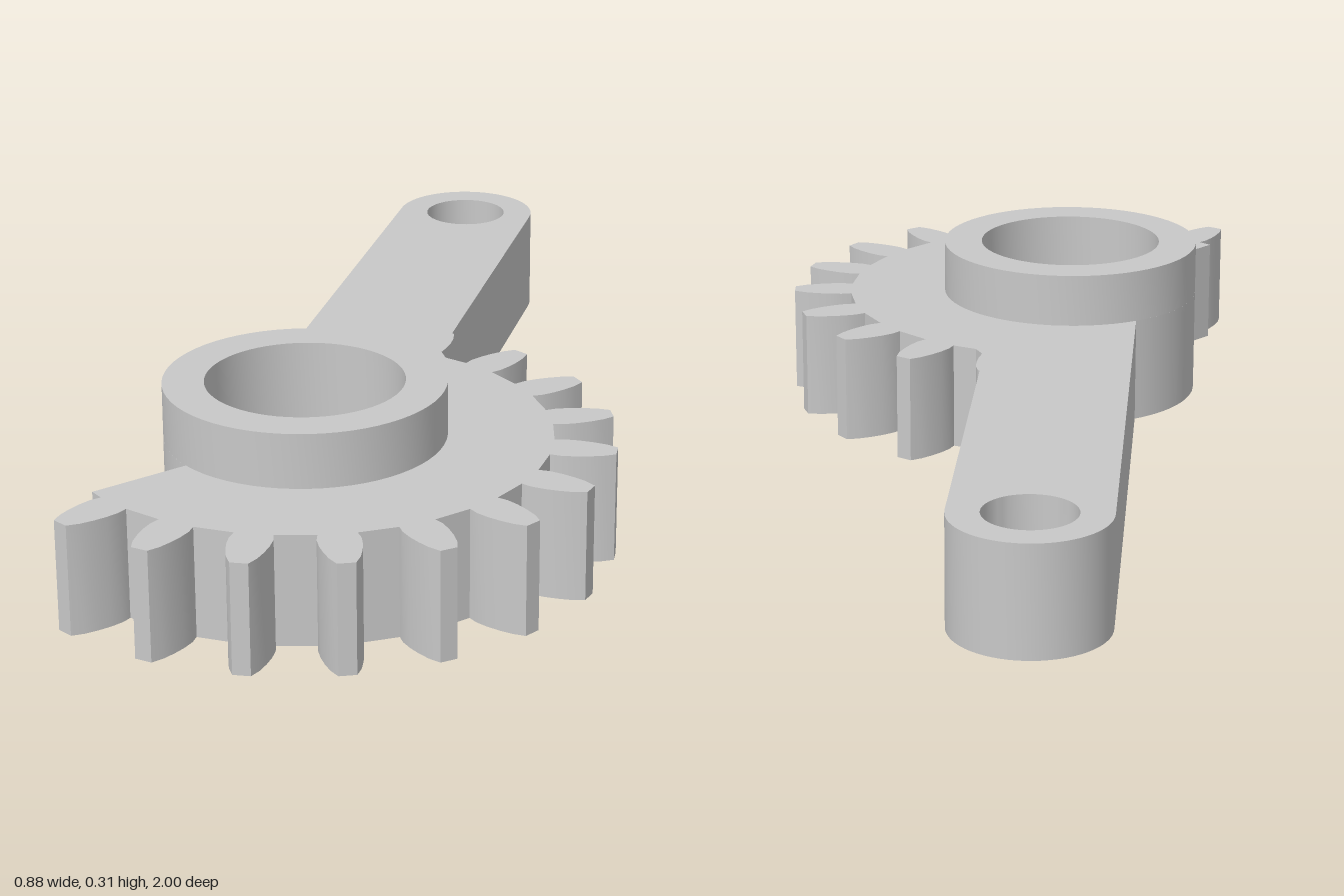
import * as THREE from 'three';
import { toCreasedNormals } from 'three/addons/utils/BufferGeometryUtils.js';

const HUB_X = -0.13, HUB_Z = 0.432;   // hub axis
const PLATE = 0.207, HUB_TOP = 0.31;  // heights
const HUB_R = 0.258, BORE_R = 0.084, RECESS_R = 0.182, RECESS_Y = 0.155;
const ROOT_R = 0.45;                  // gear root radius
const ARM_R = 0.143, ARM_END = 1.289; // arm half width, distance to its hole
const rad = THREE.MathUtils.degToRad;

// half tooth: [radius, half width]
const TOOTH = [[ROOT_R, 0.034], [0.47, 0.038], [0.495, 0.037], [0.52, 0.033], [0.545, 0.0265], [0.567, 0.016]];

// outline of the arm, hub disc and gear sector, drawn around the hub axis
function plateShape() {
  const pts = [];
  const polar = (r, deg) => pts.push(new THREE.Vector2(r * Math.cos(rad(deg)), r * Math.sin(rad(deg))));
  const toothPoint = ([r, w], side, deg) => {
    const c = Math.cos(rad(deg)), s = Math.sin(rad(deg));
    pts.push(new THREE.Vector2(r * c - side * w * s, r * s + side * w * c));
  };

  // straight end of the sector
  polar(HUB_R, -129.5);
  polar(ROOT_R, -129.5);
  // eleven full teeth, 18 degrees apart
  for (let i = 0; i < 11; i++) {
    const a = -121.45 + i * 18;
    TOOTH.forEach(p => toothPoint(p, -1, a));
    [...TOOTH].reverse().forEach(p => toothPoint(p, 1, a));
    polar(ROOT_R, a + 7.5);
    polar(ROOT_R, a + 10.5);
  }
  // last tooth, half buried in the arm
  TOOTH.slice(1).forEach(p => toothPoint(p, -1, 76.55));
  pts.push(new THREE.Vector2(ARM_R, 0.553));
  // rounded arm end
  for (let i = 0; i <= 32; i++) {
    const a = Math.PI * i / 32;
    pts.push(new THREE.Vector2(ARM_R * Math.cos(a), ARM_END + ARM_R * Math.sin(a)));
  }
  // back of the hub disc
  for (let i = 0; i < 28; i++) polar(HUB_R, 123.8 + (230.5 - 123.8) * i / 28);

  const shape = new THREE.Shape(pts);
  // arm hole, and the opening filled by the hub
  shape.holes.push(new THREE.Path().absarc(0, ARM_END, BORE_R, 0, Math.PI * 2, true));
  shape.holes.push(new THREE.Path().absarc(0, 0, 0.22, 0, Math.PI * 2, true));
  return shape;
}

export function createModel() {
  const group = new THREE.Group();
  group.name = 'gearSectorLever';
  const metal = new THREE.MeshStandardMaterial({ color: 0xc8c8c8 });
  metal.name = 'grey metal';

  // flat lever with gear teeth
  const plate = new THREE.ExtrudeGeometry(plateShape(), { depth: PLATE, bevelEnabled: false, curveSegments: 24 });
  plate.rotateX(-Math.PI / 2);
  const lever = new THREE.Mesh(toCreasedNormals(plate, 0.35), metal);
  lever.name = 'toothedLever';

  // raised hub with a stepped bore: up the outside, down the inside, out along the base
  const profile = [
    [HUB_R, PLATE], [HUB_R, HUB_TOP], [RECESS_R, HUB_TOP], [RECESS_R, RECESS_Y],
    [BORE_R, RECESS_Y], [BORE_R, 0], [0.22, 0],
  ].map(([r, y]) => new THREE.Vector2(r, y));
  const hub = new THREE.Mesh(toCreasedNormals(new THREE.LatheGeometry(profile, 64), 0.5), metal);
  hub.name = 'hub';

  for (const part of [lever, hub]) {
    part.position.set(HUB_X, 0, HUB_Z);
    group.add(part);
  }
  return group;
}
